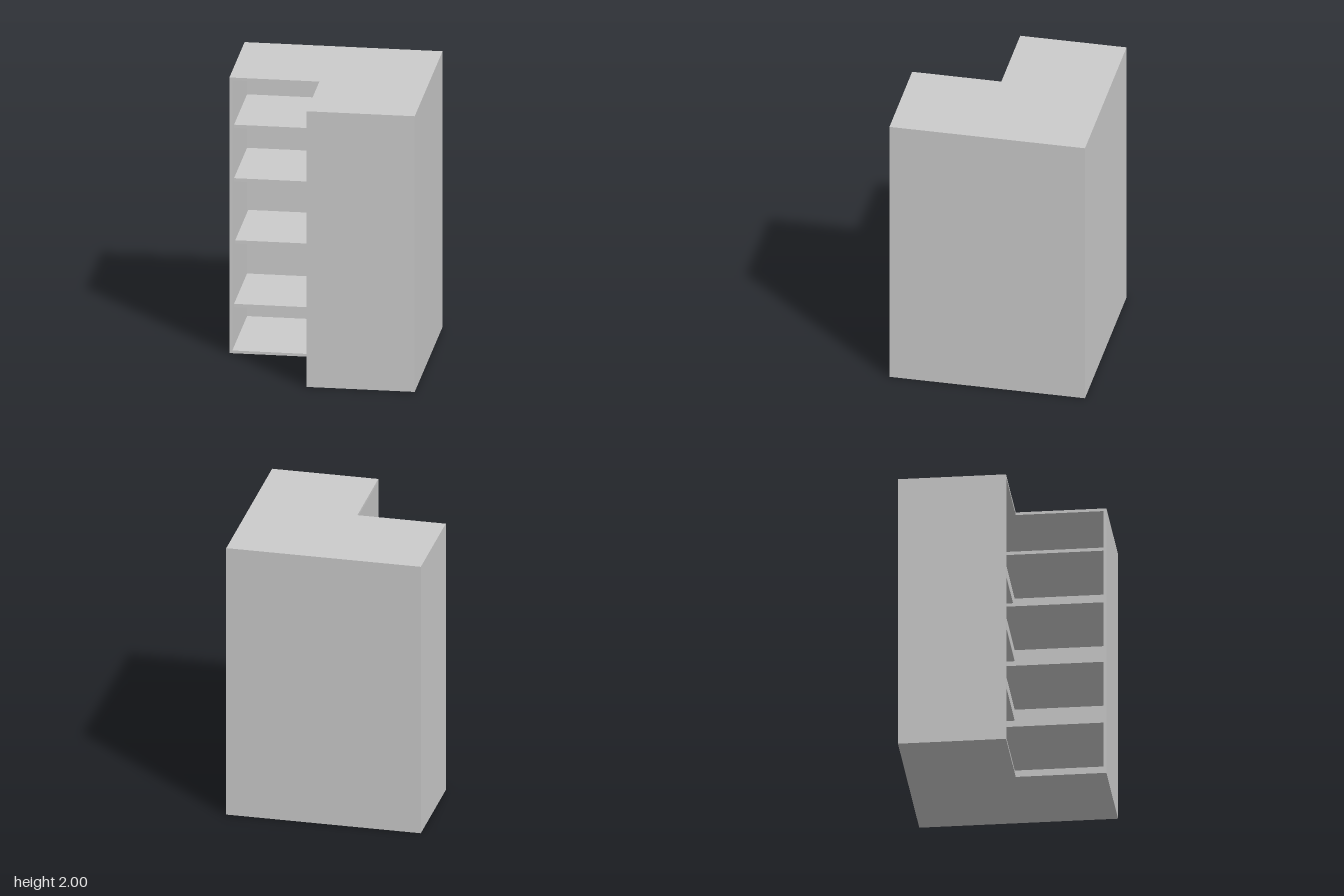
import * as THREE from 'three';

const H = 2, R = 0.685, T = 0.02;   // height, half width, panel thickness
const NX = -0.063, NZ = 0.06;       // inner corner of the L-shaped plan

export function createModel() {
  const group = new THREE.Group();
  const material = new THREE.MeshStandardMaterial({ color: 0xcccccc, flatShading: true });

  // Box given by its minimum and maximum corners
  function panel(name, [x0, y0, z0], [x1, y1, z1]) {
    const mesh = new THREE.Mesh(new THREE.BoxGeometry(x1 - x0, y1 - y0, z1 - z0), material);
    mesh.position.set((x0 + x1) / 2, (y0 + y1) / 2, (z0 + z1) / 2);
    mesh.name = name;
    group.add(mesh);
  }

  // L-shaped top and bottom boards
  const plan = new THREE.Shape([
    [-R, R], [R, R], [R, -R], [NX, -R], [NX, -NZ], [-R, -NZ],
  ].map(([x, y]) => new THREE.Vector2(x, y)));
  for (const [name, y] of [['bottomBoard', 0], ['topBoard', H - T]]) {
    const geometry = new THREE.ExtrudeGeometry(plan, { depth: T, bevelEnabled: false });
    geometry.rotateX(-Math.PI / 2);
    const mesh = new THREE.Mesh(geometry, material);
    mesh.position.y = y;
    mesh.name = name;
    group.add(mesh);
  }

  // Upright walls; both faces of the inner corner stay open
  const lo = T, hi = H - T;
  panel('backPanel', [-R, lo, -R], [R, hi, -R + T]);
  panel('leftSidePanel', [R - T, lo, -R + T], [R, hi, R]);
  panel('rightEndPanel', [-R, lo, -R + T], [-R + T, hi, NZ]);
  panel('frontEndPanel', [NX, lo, R - T], [R - T, hi, R]);

  // Shelves of the rear wing, set back from its opening
  const shelf = 0.024, rearFront = NZ - 0.085;
  [0.305, 0.767, 1.217, 1.605].forEach((y, i) => {
    const gap = i === 1 ? 0.008 : 0;
    panel('rearShelf', [-R + T + gap, y, -R + T], [R - T, y + shelf, rearFront]);
  });

  // Shelves of the forward wing, slightly higher
  for (const y of [0.39, 0.85, 1.3, 1.69]) {
    panel('sideShelf', [NX + 0.02, y, rearFront], [R - T, y + shelf, R - T]);
  }
  return group;
}
